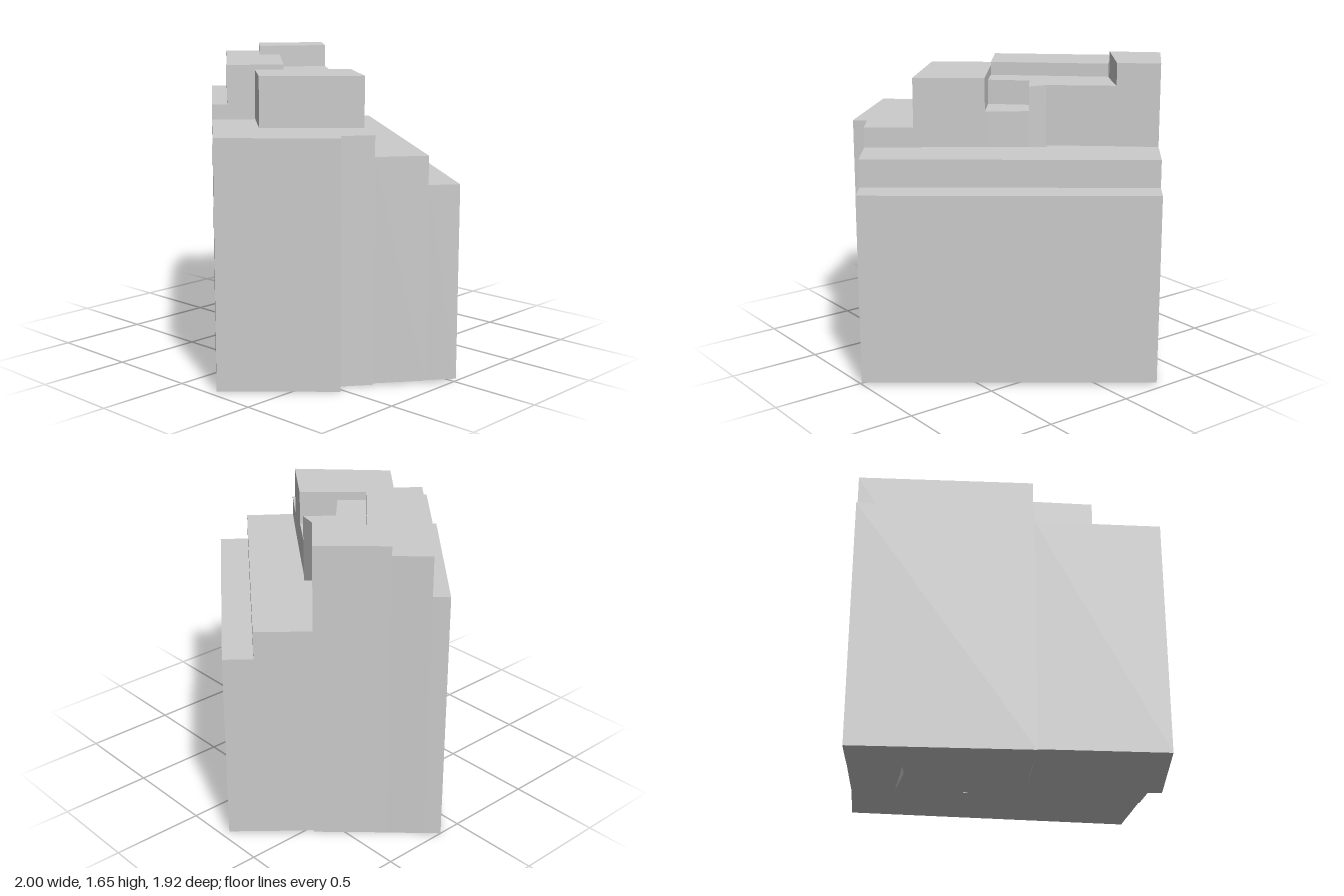
import * as THREE from 'three';

const material = new THREE.MeshStandardMaterial({ color: 0xcccccc, flatShading: true });

// Shared plan corners as [x, z]
const westCorner = [-1, -0.13], northCorner = [-0.25, -0.965], eastCorner = [1, -0.015];
const southCorner = [0.225, 0.96];
const frontStepL = [-0.285, 0.51], frontStepR = [-0.23, 0.447];
const westA = [-0.94, -0.195], westB = [-0.8, -0.34], westC = [-0.54, -0.62], westD = [-0.35, -0.845];
const eastA = [0.9, 0.115], eastB = [0.733, 0.335];
const roofA = [-0.13, 0.335], roofB = [0.135, 0.56], roofC = [0.52, 0.175], roofD = [0.21, -0.055];
const courtA = [-0.365, -0.465], courtB = [-0.51, -0.23], courtC = [-0.03, 0.215], courtD = [0.075, 0.1];
const courtE = [-0.09, -0.06], courtF = [0.02, -0.195], courtG = [-0.08, -0.22];
const towerInner = [-0.595, -0.145];

// Each building volume: name, base height, top height, footprint
const volumes = [
  ['rearLowerStep', 0.012, 1.043, [northCorner, eastCorner, eastA, westD]],
  ['rearUpperStep', 0.01, 1.193,
    [westD, eastA, eastB, roofC, roofD, courtF, [-0.055, -0.255], courtG, courtA, westC]],
  ['frontBlock', 0.003, 1.303,
    [frontStepL, southCorner, [0.685, 0.53], [0.63, 0.475], eastB, roofC, roofB, roofA]],
  ['frontPenthouse', 0.003, 1.572, [roofA, roofB, roofC, roofD]],
  ['sideStep', 0, 1.385, [westCorner, frontStepL, frontStepR, westA]],
  ['sideBlock', 0, 1.598, [westA, frontStepR, courtC, courtB, towerInner, westB]],
  ['cornerTower', 0, 1.648, [westB, towerInner, courtA, westC]],
  ['innerBlock', 0, 1.525, [courtA, courtB, courtC, courtD, courtE, courtF, courtG]],
  ['innerLowBlock', 0, 1.39, [courtE, courtD, roofD, courtF]],
];

// Upright prism over a footprint
function prism(name, base, top, footprint) {
  const shape = new THREE.Shape(footprint.map(([x, z]) => new THREE.Vector2(x, -z)));
  const geometry = new THREE.ExtrudeGeometry(shape, { depth: top - base, bevelEnabled: false });
  geometry.rotateX(-Math.PI / 2).translate(0, base, 0);
  const mesh = new THREE.Mesh(geometry, material);
  mesh.name = name;
  return mesh;
}

export function createModel() {
  const building = new THREE.Group();
  building.name = 'building';
  for (const volume of volumes) building.add(prism(...volume));
  return building;
}
